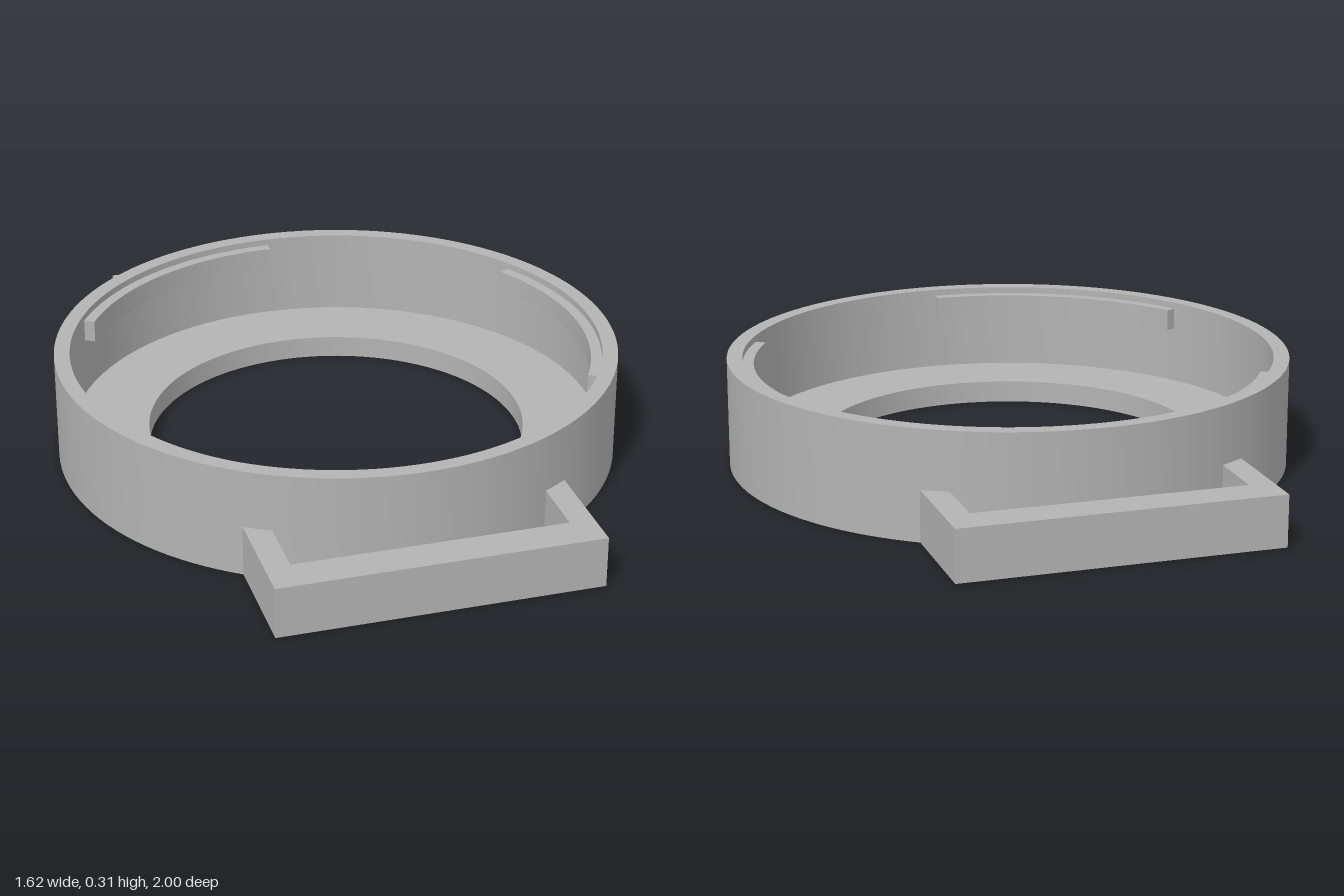
import * as THREE from 'three';
import { toCreasedNormals } from 'three/addons/utils/BufferGeometryUtils.js';

const OUTER = 0.812, WALL = 0.767, HOLE = 0.547;
const HEIGHT = 0.315, FLOOR = 0.065;

// Extrudes a plan-view shape upward from height y0 to y1
function slab(shape, y0, y1, curveSegments) {
  const geo = new THREE.ExtrudeGeometry(shape, { depth: y1 - y0, bevelEnabled: false, curveSegments });
  geo.rotateX(-Math.PI / 2).translate(0, y0, 0);
  return toCreasedNormals(geo, 0.5);
}

export function createModel() {
  const group = new THREE.Group();
  const grey = new THREE.MeshStandardMaterial({ color: 0xb3b3b3 });
  grey.name = 'plain grey';
  const add = (name, geo) => {
    const mesh = new THREE.Mesh(geo, grey);
    mesh.name = name;
    group.add(mesh);
    return mesh;
  };

  // Round housing: tall thin wall with an annular floor
  const profile = [
    [HOLE, 0], [OUTER, 0], [OUTER, HEIGHT], [WALL, HEIGHT],
    [WALL, FLOOR], [HOLE, FLOOR], [HOLE, 0],
  ].map(([r, y]) => new THREE.Vector2(r, y));
  add('housing', toCreasedNormals(new THREE.LatheGeometry(profile, 128), 0.5));

  // Three retaining ridges inside the wall, each spanning 60 degrees
  const half = Math.PI / 6, ridgeInner = 0.735, ridgeOuter = WALL + 0.01;
  const ridge = new THREE.Shape();
  ridge.absarc(0, 0, ridgeOuter, -half, half, false);
  ridge.absarc(0, 0, ridgeInner, half, -half, true);
  ridge.closePath();
  const ridgeGeo = slab(ridge, 0.232, 0.296, 24);
  for (let i = 0; i < 3; i++) {
    add('retainingRidge' + (i + 1), ridgeGeo).rotation.y = i * Math.PI * 2 / 3;
  }

  // U-shaped strap loops, with arm ends cut to the curve of the wall
  const w = 0.455, wi = 0.385, end = 1, endInner = 0.895, r = OUTER - 0.008;
  const onWall = x => Math.sqrt(r * r - x * x);
  const loop = new THREE.Shape();
  loop.moveTo(-w, onWall(w));
  loop.lineTo(-wi, onWall(wi));
  loop.lineTo(-wi, endInner);
  loop.lineTo(wi, endInner);
  loop.lineTo(wi, onWall(wi));
  loop.lineTo(w, onWall(w));
  loop.lineTo(w, end);
  loop.lineTo(-w, end);
  loop.closePath();
  const loopGeo = slab(loop, 0, 0.147, 1);
  add('backStrapLoop', loopGeo);
  add('frontStrapLoop', loopGeo).rotation.y = Math.PI;

  return group;
}
